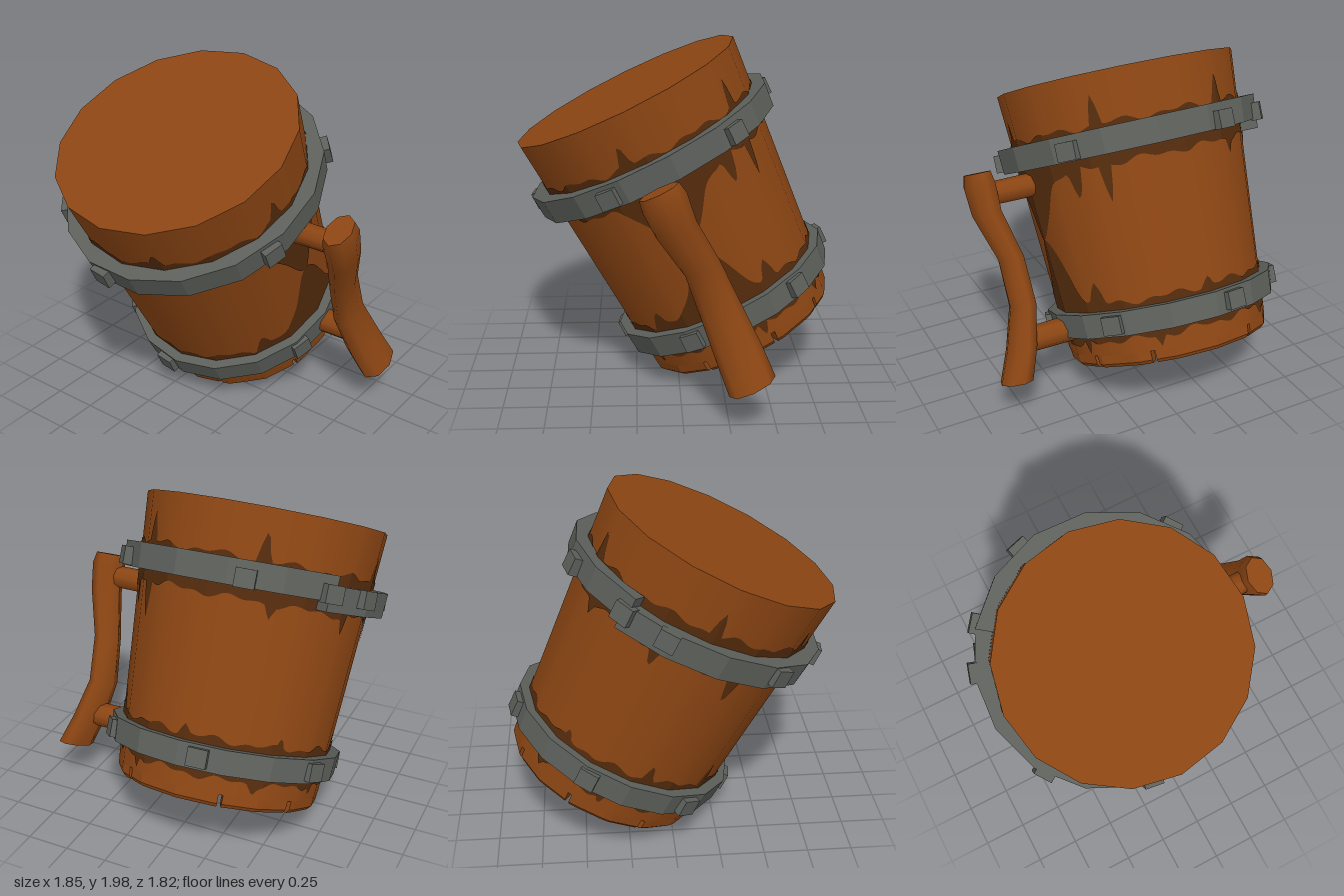
import * as THREE from 'three';

const SIDES = 16, DEG = Math.PI / 180;
const material = (name, color) => new THREE.MeshStandardMaterial({ name, color, side: THREE.DoubleSide });

// Barrel radius at height y, and the scale that keeps a point on its flat sides
const barrelR = y => 0.58 + 0.072 * y;
const facet = a => {
  const step = 2 * Math.PI / SIDES;
  const t = ((a % step) + step) % step - step / 2;
  return Math.cos(step / 2) / Math.cos(t);
};

// Sweeps a closed (radius, height) profile around the y axis, capping the ends
function sweep(profile, a0, a1, n, lift = () => 0, scale = () => 1) {
  const pos = [], idx = [], m = profile.length;
  for (let i = 0; i <= n; i++) {
    const t = i / n, a = a0 + (a1 - a0) * t;
    for (const [r, y] of profile) {
      const s = r * scale(a);
      pos.push(s * Math.cos(a), y + lift(t), s * Math.sin(a));
    }
  }
  for (let i = 0; i < n; i++) for (let j = 0; j < m; j++) {
    const k = (j + 1) % m, a = i * m + j, b = i * m + k;
    idx.push(a, b, b + m, a, b + m, a + m);
  }
  for (let j = 1; j < m - 1; j++) {
    idx.push(0, j + 1, j, n * m, n * m + j, n * m + j + 1);
  }
  return flat(pos, idx);
}

function flat(pos, idx) {
  const g = new THREE.BufferGeometry();
  g.setAttribute('position', new THREE.Float32BufferAttribute(pos, 3));
  g.setIndex(idx);
  const out = g.toNonIndexed();
  out.computeVertexNormals();
  return out;
}

// Drip length at an angle in degrees: wavy edge, pointed drips, spread near the handle
function drips(deg, list, handleSpread, seed) {
  let d = 0.04 + 0.012 * Math.sin(deg * DEG * 11 + seed) + 0.01 * Math.sin(deg * DEG * 23 + seed * 2);
  for (const [at, length, width] of list) {
    const off = Math.abs(((deg - at + 540) % 360) - 180);
    if (off < width) d = Math.max(d, length * Math.sqrt(1 - off / width));
  }
  return d + handleSpread * Math.exp(-(((deg - 90) / 15) ** 2));
}

// Thin stain strip that follows the barrel
function stain(low, high) {
  const n = 240, pos = [], idx = [];
  for (let i = 0; i <= n; i++) {
    const deg = 360 * i / n, a = deg * DEG;
    for (const y of [low(deg), high(deg)]) {
      const r = (barrelR(y) + 0.005) * facet(a);
      pos.push(r * Math.cos(a), y, r * Math.sin(a));
    }
    if (i < n) idx.push(2 * i, 2 * i + 1, 2 * i + 3, 2 * i, 2 * i + 3, 2 * i + 2);
  }
  return flat(pos, idx);
}

export function createModel() {
  const wood = material('wood', 0x8b4513);
  const darkWood = material('darkWood', 0x522a0c);
  const iron = material('iron', 0x5c5f5a);
  const drink = material('drink', 0x3a7391);

  const model = new THREE.Group();
  model.name = 'tankard';
  const mug = new THREE.Group();
  mug.name = 'tiltedMug';
  mug.position.set(0.39, 0.26, -0.155);
  mug.rotation.z = 0.451;
  model.add(mug);
  const add = (name, geometry, mat, parent = mug) => {
    const mesh = new THREE.Mesh(geometry, mat);
    mesh.name = name;
    parent.add(mesh);
    return mesh;
  };

  // Barrel: outer wall, closed base, inner wall and liquid
  const H = 1.594, RIM = 0.07;
  add('barrelWall', new THREE.CylinderGeometry(barrelR(H), barrelR(RIM), H - RIM, SIDES, 1, true)
    .translate(0, (H + RIM) / 2, 0), wood);
  add('base', new THREE.CircleGeometry(barrelR(H), SIDES).rotateX(-Math.PI / 2).translate(0, H, 0), wood);
  add('innerWall', new THREE.CylinderGeometry(0.525, 0.485, 0.56 - RIM, SIDES, 1, true)
    .translate(0, (0.56 + RIM) / 2, 0), wood);
  add('rimShoulder', new THREE.RingGeometry(0.485, barrelR(RIM), SIDES).rotateX(Math.PI / 2)
    .translate(0, RIM, 0), wood);
  add('drinkSurface', new THREE.CircleGeometry(0.522, SIDES).rotateX(Math.PI / 2).translate(0, 0.55, 0), drink);

  // Rim staves with narrow gaps between them
  const rimProfile = [[0.495, 0], [0.562, 0], [0.58, 0.02], [0.585, RIM], [0.483, RIM], [0.48, 0.015]];
  const gaps = [36, 72, 115, 164, 205, 250, 295, 336, 396];
  for (let i = 0; i < gaps.length - 1; i++) {
    add('rimStave', sweep(rimProfile, (gaps[i] + 1.2) * DEG, (gaps[i + 1] - 1.2) * DEG, 10, undefined, facet), wood);
  }

  // Dark stains spreading from the bands
  const upperUp = [[39, 0.2, 3], [100, 0.17, 3], [337, 0.2, 3], [160, 0.13, 4], [215, 0.15, 3], [270, 0.17, 3]];
  const upperDown = [[39, 0.24, 3], [55, 0.2, 4], [330, 0.12, 3], [250, 0.2, 3], [290, 0.15, 3], [200, 0.16, 3]];
  const lowerUp = [[0, 0.09, 4], [60, 0.16, 5], [128, 0.13, 5], [225, 0.18, 3], [262, 0.14, 3], [310, 0.1, 3]];
  const lowerDown = [[30, 0.1, 3], [75, 0.1, 3], [145, 0.1, 3], [210, 0.11, 3], [320, 0.1, 4], [280, 0.09, 3]];
  add('upperStain', stain(d => 1.145 - drips(d, upperDown, 0.36, 1), d => 1.28 + drips(d, upperUp, 0, 2)), darkWood);
  add('lowerStain', stain(d => 0.19 - drips(d, lowerDown, 0.02, 3), d => 0.32 + drips(d, lowerUp, 0.38, 4)), darkWood);

  // Iron bands with square rivets; the upper one is a bent strip with overlapping ends
  const bandProfile = (inner, outer, y, h) =>
    [[inner, y - h / 2], [outer - 0.005, y - h / 2], [outer + 0.005, y + h / 2], [inner, y + h / 2]];
  const strip = sweep(bandProfile(0.64, 0.755, 1.21, 0.14), -415 * DEG, -52 * DEG, SIDES, t => 0.035 - 0.055 * t);
  add('upperBand', strip, iron);
  add('lowerBand', sweep(bandProfile(0.57, 0.66, 0.255, 0.135), 0, 2 * Math.PI, SIDES), iron);
  const rivets = (name, radius, y, angles) => {
    for (const deg of angles) {
      const pivot = new THREE.Group();
      pivot.name = name;
      pivot.rotation.y = -deg * DEG;
      mug.add(pivot);
      add(name + 'Head', new THREE.BoxGeometry(0.06, 0.1, 0.11).translate(radius, y, 0), iron, pivot);
    }
  };
  rivets('upperRivet', 0.755, 1.215, [51, 111, 188, 235, 287, 307, 343]);
  rivets('lowerRivet', 0.655, 0.255, [51, 111, 188, 235, 290, 350]);

  // Handle: a crooked branch; rows are height, x, z, half width, half depth
  const rows = [
    [0.02, -0.02, 0.965, 0.135, 0.09], [0.2, -0.01, 0.90, 0.13, 0.085], [0.43, 0.0, 0.845, 0.115, 0.073],
    [0.7, 0.018, 0.86, 0.1, 0.073], [0.97, -0.004, 0.935, 0.112, 0.085],
    [1.13, 0.005, 0.945, 0.125, 0.09], [1.195, 0.005, 0.945, 0.112, 0.075]];
  const branch = new THREE.CylinderGeometry(1, 1, 1, 8, rows.length - 1).rotateY(Math.PI);
  const p = branch.attributes.position;
  for (let i = 0; i < p.count; i++) {
    const [y, x, z, w, d] = rows[Math.round((p.getY(i) + 0.5) * (rows.length - 1))];
    p.setXYZ(i, x + p.getX(i) * w, y, z + p.getZ(i) * d);
  }
  branch.computeVertexNormals();
  add('handleGrip', branch, wood);

  // Pegs joining the handle to the barrel
  for (const [y, r] of [[1.07, 0.068], [0.23, 0.075]]) {
    add('handlePeg', new THREE.CylinderGeometry(r * 0.95, r, 0.36, 8).rotateX(Math.PI / 2)
      .translate(0, y, 0.72), wood);
  }
  return model;
}
